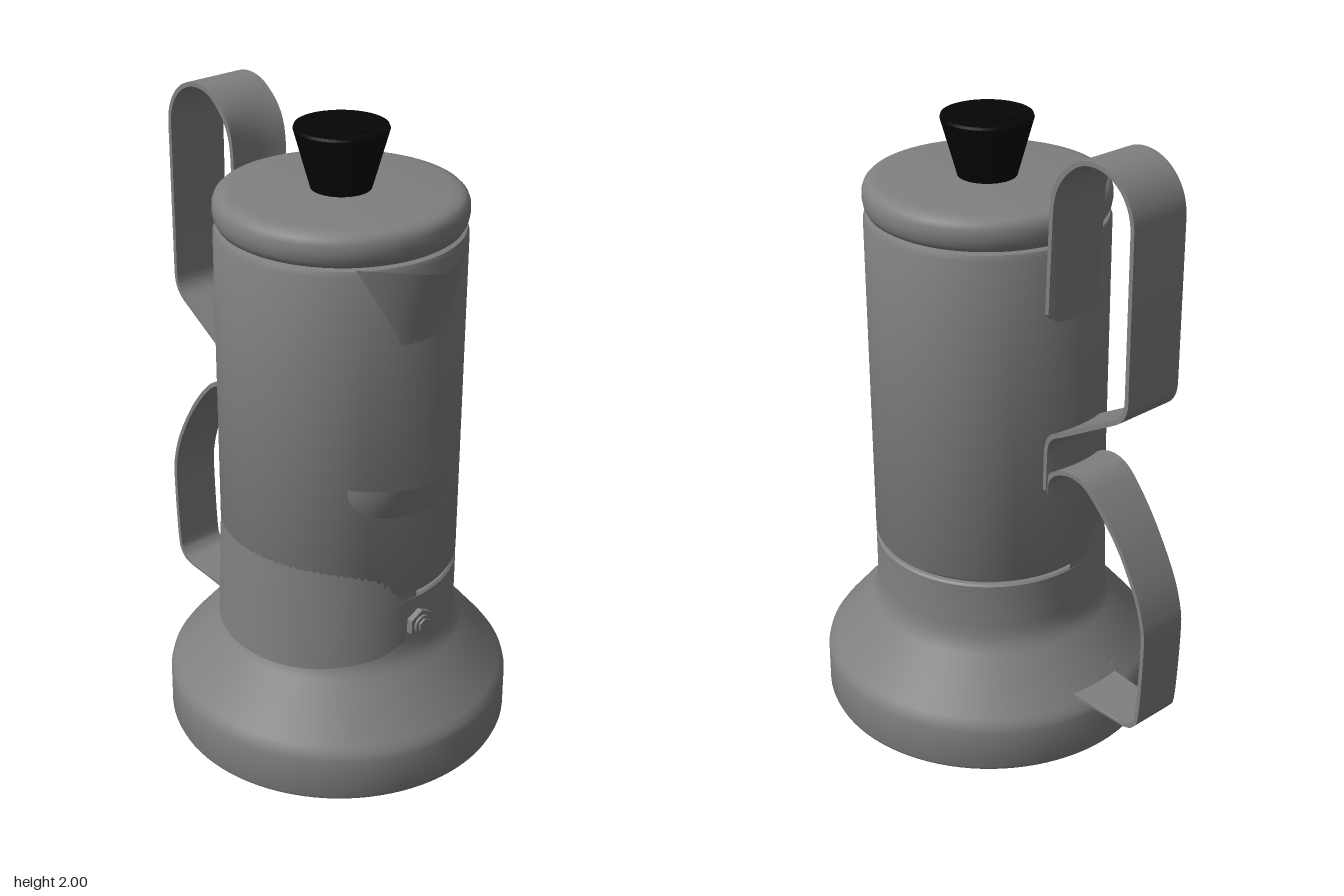
import * as THREE from 'three';
import { toCreasedNormals } from 'three/addons/utils/BufferGeometryUtils.js';

const AXIS_Z = 0.117; // the pot's axis sits forward of the origin
const R = 0.368; // body radius

const metal = new THREE.MeshStandardMaterial({ color: 0x808080 });
const thinMetal = new THREE.MeshStandardMaterial({ color: 0x808080, side: THREE.DoubleSide });
const black = new THREE.MeshStandardMaterial({ color: 0x050505 });

function part(name, geometry, material = metal) {
  const mesh = new THREE.Mesh(geometry, material);
  mesh.name = name;
  return mesh;
}

// Turned part from [radius, height] pairs, bottom to top
function turned(name, profile, material) {
  const points = profile.map(([r, y]) => new THREE.Vector2(r, y));
  return part(name, toCreasedNormals(new THREE.LatheGeometry(points, 96), 0.6), material);
}

// Apply a rule to every vertex
function bend(geometry, rule) {
  const pos = geometry.attributes.position;
  const v = new THREE.Vector3();
  for (let i = 0; i < pos.count; i++) {
    rule(v.fromBufferAttribute(pos, i));
    pos.setXYZ(i, v.x, v.y, v.z);
  }
  geometry.computeVertexNormals();
  return geometry;
}

// Flat strap following a path in the (z, y) plane
function strap(name, path, halfWidth) {
  const t = 0.007;
  const left = [], right = [];
  path.forEach((p, i) => {
    const a = path[Math.max(i - 1, 0)], b = path[Math.min(i + 1, path.length - 1)];
    const n = new THREE.Vector2(a.y - b.y, b.x - a.x).normalize().multiplyScalar(t);
    left.push(p.clone().add(n));
    right.unshift(p.clone().sub(n));
  });
  const ends = [path[0], path[path.length - 1]];
  const geo = new THREE.ExtrudeGeometry(new THREE.Shape([...left, ...right]), {
    depth: 2, steps: 16, bevelEnabled: false,
  });
  geo.translate(0, 0, -1).rotateY(-Math.PI / 2);
  bend(geo, (v) => {
    // rounded corners on the tabs
    if (ends.some((p) => Math.hypot(v.z - p.x, v.y - p.y) < 0.01)) v.y += 0.03 * Math.abs(v.x) ** 6;
    v.x *= halfWidth(v.z);
    // the welded tabs wrap around the body
    const near = THREE.MathUtils.smoothstep(v.z, -0.34, -0.27);
    v.z += near * (R - Math.sqrt(R * R - v.x * v.x));
  });
  return part(name, toCreasedNormals(geo, 0.6), thinMetal);
}

// Sheet rising from the body's front wall; rule(s, t) gives [x, y, outward bump]
function bulge(name, rule) {
  const geo = bend(new THREE.PlaneGeometry(1, 1, 32, 16), (v) => {
    const [x, y, out] = rule(v.x * 2, 0.5 - v.y);
    v.set(x, y, Math.sqrt(R * R - x * x) + out);
  });
  return part(name, geo, thinMetal);
}

export function createModel() {
  const model = new THREE.Group();
  const pot = new THREE.Group();
  pot.name = 'pot';
  pot.position.z = AXIS_Z;
  model.add(pot);

  // Water chamber with raised foot and flared skirt
  pot.add(turned('foot', [[0, 0.004], [0.355, 0.004], [0.378, 0.009], [0.391, 0.02], [0.395, 0.035], [0.395, 0.05]]));
  pot.add(turned('waterChamber', [
    [0, 0.035], [0.525, 0.035], [0.538, 0.04], [0.543, 0.052], [0.542, 0.18], [0.537, 0.2],
    [0.522, 0.222], [0.395, 0.375], [0.38, 0.4], [0.372, 0.425], [R, 0.46],
    [R, 0.606], [0.362, 0.612], [0.35, 0.614],
  ]));

  // Leaning half sleeve that overlaps the seam on one side
  const sleeve = bend(new THREE.CylinderGeometry(R, R, 0.4, 64, 16, true, Math.PI, Math.PI), (v) => {
    v.y += 0.58;
    v.x = v.x * 0.996 - 0.018 * (0.78 - v.y) / 0.4;
    v.z *= 0.996;
  });
  pot.add(part('seamSleeve', sleeve, thinMetal));

  // Upper jug
  pot.add(turned('jug', [
    [0.352, 0.606], [0.352, 0.622], [0.362, 0.623], [R, 0.632], [R, 1.68], [0.362, 1.695], [0.345, 1.7], [0, 1.7],
  ]));

  // Lid with rolled rim
  pot.add(turned('lid', [
    [0, 1.695], [0.345, 1.698], [0.356, 1.705], [0.365, 1.722], [0.369, 1.745], [0.368, 1.768],
    [0.362, 1.784], [0.352, 1.794], [0.335, 1.8], [0.31, 1.803], [0, 1.805],
  ]));

  // Tapered knob
  pot.add(turned('knob', [
    [0, 1.803], [0.088, 1.803], [0.137, 1.978], [0.134, 1.986], [0.1, 1.988], [0.1, 1.994], [0, 1.994],
  ], black));

  // Pouring lip, softly blended into the body
  pot.add(bulge('spout', (s, t) => {
    const a = Math.abs(s);
    const ridge = (1 - a) * 0.4 + (1 + Math.cos(Math.PI * s)) * 0.3;
    const fall = (1 - t) ** 1.25;
    return [s * 0.21 * (1 - 0.6 * t), 1.7 - 0.24 * t - 0.02 * ridge * (1 - t), 0.067 * ridge * fall + 0.001];
  }));

  // Crescent pocket on the front wall
  pot.add(bulge('frontPocket', (s, t) => {
    const x = -0.034 + s * 0.19 * Math.sqrt(1 - t ** 2.6);
    return [x, 1.022 - 0.118 * t, 0.048 * (1 - t) * (1 - s * s) + 0.001];
  }));

  // Safety valve: hexagonal nut, ring and stem
  const valve = new THREE.Group();
  valve.name = 'safetyValve';
  valve.position.set(0, 0.515, R);
  [['valveNut', 0.047, 0.03, 6, 0.003], ['valveRing', 0.03, 0.012, 24, 0.02], ['valveStem', 0.022, 0.03, 6, 0.018]]
    .forEach(([name, r, depth, sides, z]) => {
      const geo = new THREE.CylinderGeometry(r, r, depth, sides).rotateX(Math.PI / 2);
      const mesh = part(name, toCreasedNormals(geo, 0.6));
      mesh.position.z = z;
      valve.add(mesh);
    });
  pot.add(valve);

  // Upper strap handle
  const upper = new THREE.Path();
  upper.moveTo(-0.26, 1.475);
  upper.lineTo(-0.273, 1.82);
  upper.bezierCurveTo(-0.28, 1.93, -0.34, 1.993, -0.42, 1.993);
  upper.bezierCurveTo(-0.5, 1.993, -0.568, 1.93, -0.568, 1.84);
  upper.lineTo(-0.568, 1.35);
  upper.bezierCurveTo(-0.568, 1.31, -0.555, 1.285, -0.52, 1.265);
  upper.lineTo(-0.31, 1.14);
  upper.bezierCurveTo(-0.275, 1.12, -0.262, 1.1, -0.26, 1.05);
  upper.lineTo(-0.257, 0.9);
  model.add(strap('upperHandle', upper.getPoints(14), () => 0.1));

  // Lower strap handle, narrowing away from the body
  const lower = new THREE.SplineCurve([
    [-0.257, 0.9], [-0.264, 0.965], [-0.3, 1.007], [-0.355, 1.02], [-0.42, 0.992], [-0.52, 0.88],
    [-0.6, 0.745], [-0.638, 0.64], [-0.647, 0.55], [-0.637, 0.32], [-0.62, 0.262], [-0.575, 0.24],
    [-0.47, 0.24], [-0.36, 0.24],
  ].map(([z, y]) => new THREE.Vector2(z, y)));
  model.add(strap('lowerHandle', lower.getPoints(90),
    (z) => THREE.MathUtils.mapLinear(THREE.MathUtils.clamp(z, -0.55, -0.3), -0.55, -0.3, 0.08, 0.095)));

  return model;
}
